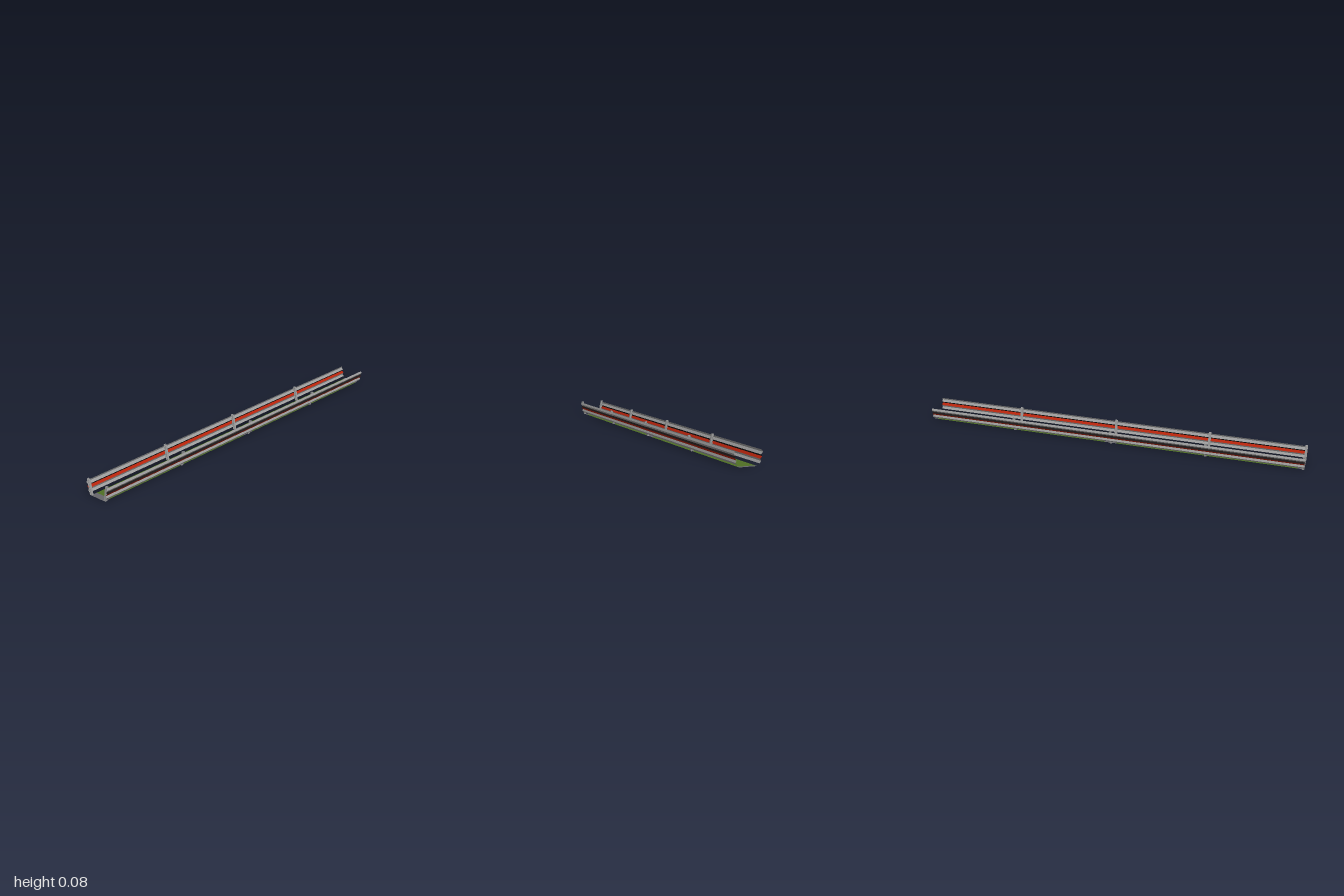
import * as THREE from 'three';

const mat = (name, color, side = THREE.FrontSide) => {
  const m = new THREE.MeshStandardMaterial({ color, side, flatShading: true });
  m.name = name;
  return m;
};

// Outer face of the leaning barrier: x position at height y
const leanX = (y) => 0.052 + 0.2 * y;

export function createModel() {
  const both = THREE.DoubleSide;
  const steel = mat('galvanised steel', 0x9c9c9c, both);
  const red = mat('red paint', 0xb8240c, both);
  const black = mat('black paint', 0x1c1616, both);
  const grass = mat('grass green', 0x4f7024, both);
  const concrete = mat('dark concrete', 0x66666a, both);
  const group = new THREE.Group();

  const add = (parent, name, geometry, material) => {
    const mesh = new THREE.Mesh(geometry, material);
    mesh.name = name;
    parent.add(mesh);
    return mesh;
  };

  // Long sheet swept along z through [height, outward offset] points
  const sheet = (points, side) => {
    const p = [], index = [];
    for (const [y, out] of points) {
      const x = side * (leanX(y) + out);
      p.push(x, y, 1, x, y, -1);
    }
    for (let i = 0; i < points.length - 1; i++) {
      const a = i * 2;
      if (side > 0) index.push(a, a + 1, a + 3, a, a + 3, a + 2);
      else index.push(a, a + 3, a + 1, a, a + 2, a + 3);
    }
    const g = new THREE.BufferGeometry();
    g.setAttribute('position', new THREE.Float32BufferAttribute(p, 3));
    g.setIndex(index);
    const flat = g.toNonIndexed();
    flat.computeVertexNormals();
    return flat;
  };

  // H-section post, sheared outward to follow the lean
  const post = (side, z, name) => {
    const holder = new THREE.Group();
    holder.name = name;
    const parts = [
      ['outerFlange', 0.002, -0.001, 0.012],
      ['web', 0.007, -0.0055, 0.003],
      ['innerFlange', 0.002, -0.01, 0.012],
    ];
    for (const [part, w, offset, depth] of parts) {
      const g = new THREE.BoxGeometry(w, 0.078, depth);
      g.translate(0, 0.039, 0);
      const pos = g.attributes.position;
      for (let i = 0; i < pos.count; i++) {
        pos.setX(i, pos.getX(i) + side * (leanX(pos.getY(i)) + offset));
      }
      g.computeVertexNormals();
      add(holder, part, g, steel);
    }
    holder.position.z = z;
    group.add(holder);
  };

  // Ridged rails and their posts on both sides
  for (const [side, label] of [[1, 'left'], [-1, 'right']]) {
    const rail = new THREE.Group();
    rail.name = label + 'Rail';
    add(rail, 'lowerRidge', sheet([[0.011, 0], [0.021, 0.007], [0.031, 0]], side), steel);
    add(rail, 'middleRidgeLower', sheet([[0.031, 0], [0.042, 0.007]], side), red);
    add(rail, 'middleRidgeUpper', sheet([[0.042, 0.007], [0.05, 0]], side), black);
    add(rail, 'upperRidge', sheet([[0.05, 0], [0.061, 0.007], [0.071, 0]], side), steel);
    group.add(rail);
    [0.994, 0.5, 0, -0.53].forEach((z, i) => post(side, z, label + 'Post' + (i + 1)));
  }

  // Flat ground strip: grass broken by concrete at the ends and centre
  const ground = (name, z0, z1, material) => {
    const g = new THREE.PlaneGeometry(0.09, z1 - z0);
    g.rotateX(-Math.PI / 2);
    add(group, name, g, material).position.set(0, 0, (z0 + z1) / 2);
  };
  ground('backSlab', -1, -0.98, concrete);
  ground('backGrass', -0.98, -0.035, grass);
  ground('centreSlab', -0.035, 0.028, concrete);
  ground('frontGrass', 0.028, 0.965, grass);
  ground('frontSlab', 0.965, 1, concrete);

  return group;
}
